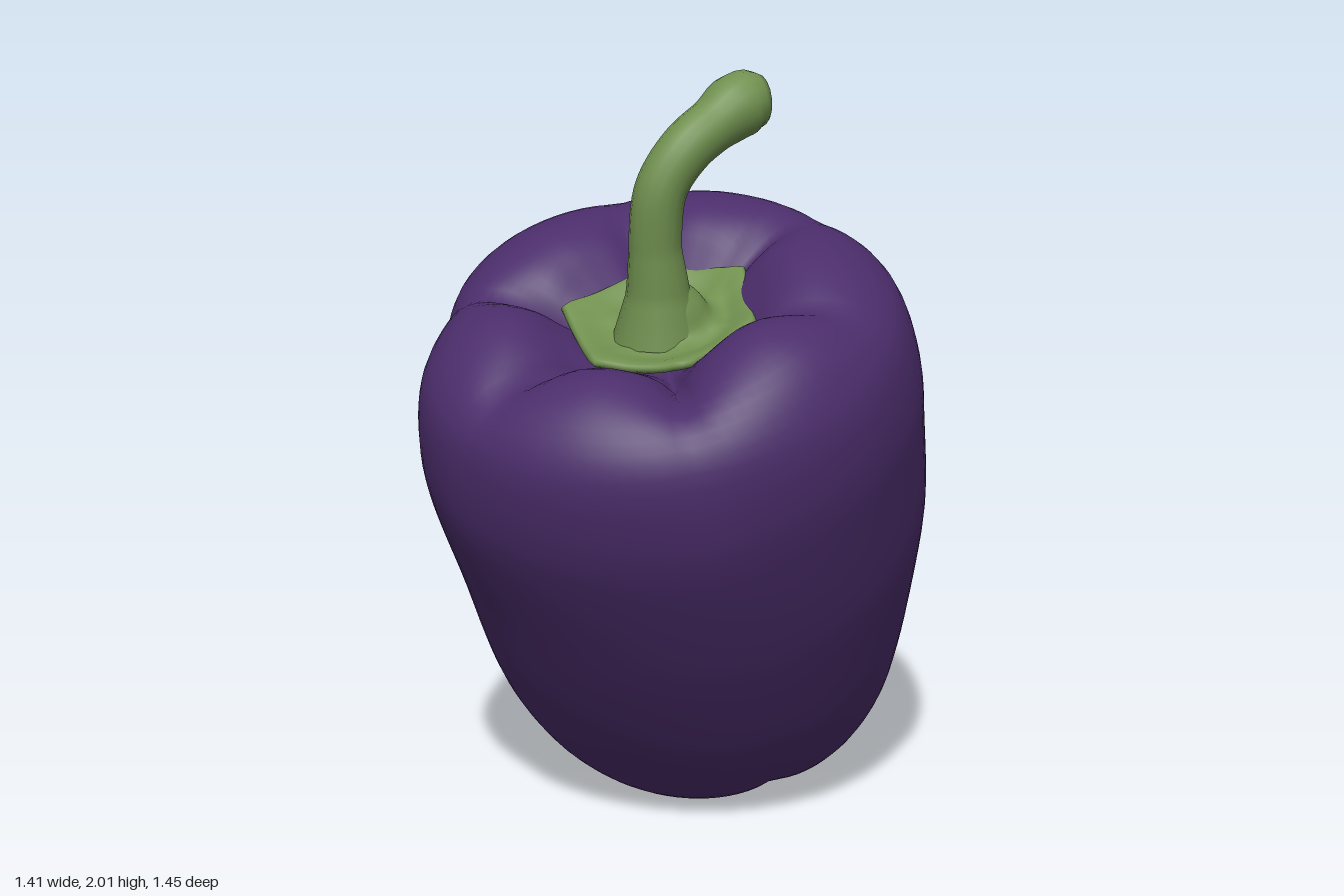
import * as THREE from 'three';
import { mergeVertices } from 'three/addons/utils/BufferGeometryUtils.js';

const rad = THREE.MathUtils.degToRad;
const smooth = THREE.MathUtils.smoothstep;
const bell = (x, mid, width) => Math.exp(-(((x - mid) / width) ** 2));
const angleGap = (a, b) => Math.abs(Math.atan2(Math.sin(a - b), Math.cos(a - b)));

// Creases between the lobes: [angle in degrees, strength]
const topCreases = [[-20, 0.85], [40, 0.6], [102, 1], [160, 1], [218, 1], [281, 0.7]];
const bottomCreases = [[-35, 0.7], [-135, 0.9], [93, 1]];
const groove = (creases, angle, width) =>
  Math.max(...creases.map(([deg, s]) => s * Math.exp(-angleGap(angle, rad(deg)) / width)));

// Uneven swellings of the wall: [angle, height, angle width, height width, amount]
const swellings = [
  [258, 0.8, 30, 0.5, 0.035], [182, 0.28, 36, 0.3, 0.04], [-95, 0.0, 45, 0.13, -0.05],
  [-90, 0.4, 40, 0.25, 0.015], [-85, 1.22, 40, 0.15, 0.012], [50, 0.6, 45, 0.6, -0.02],
  [213, 1.1, 20, 0.4, -0.045],
];
const swell = (angle, h) => swellings.reduce((sum, [deg, mid, wide, tall, amount]) =>
  sum + amount * bell(angleGap(angle, rad(deg)), 0, rad(wide)) * bell(h, mid, tall), 0);

// Weld seams and recompute smooth normals
function finish(geometry) {
  geometry.deleteAttribute('uv');
  geometry.deleteAttribute('normal');
  const welded = mergeVertices(geometry, 1e-5);
  welded.computeVertexNormals();
  return welded;
}

// Lathe whose vertices are moved by rule(radius, height, angle) -> [radius, height, shiftX]
function shapedLathe(profile, rows, segments, rule) {
  const points = new THREE.SplineCurve(profile.map(p => new THREE.Vector2(...p))).getPoints(rows);
  points.forEach(p => { p.x = Math.max(p.x, 0); });
  const geometry = new THREE.LatheGeometry(points, segments);
  const pos = geometry.attributes.position;
  for (let i = 0; i < pos.count; i++) {
    const x = pos.getX(i), z = pos.getZ(i), angle = Math.atan2(z, x);
    const [r, h, shift] = rule(Math.hypot(x, z), pos.getY(i), angle);
    pos.setXYZ(i, r * Math.cos(angle) + shift, h, r * Math.sin(angle));
  }
  return finish(geometry);
}

// Fruit: fat profile folded in at both ends, with creases
function bodyGeometry() {
  const profile = [
    [0, 0.03], [0.05, 0], [0.15, -0.065], [0.28, -0.078], [0.4, -0.03], [0.48, 0.075], [0.535, 0.22],
    [0.59, 0.42], [0.64, 0.65], [0.668, 0.9], [0.672, 1.08], [0.635, 1.25], [0.545, 1.35],
    [0.43, 1.395], [0.33, 1.38], [0.24, 1.31], [0.16, 1.25], [0, 1.21],
  ];
  return shapedLathe(profile, 68, 90, (r, h, angle) => {
    const top = groove(topCreases, angle, 0.18), bottom = groove(bottomCreases, angle, 0.18);
    const high = smooth(h, 0.95, 1.35), low = 1 - smooth(h, 0.02, 0.3);
    const newR = r * (1 - 0.03 * top * high - 0.02 * bottom * low)
      + swell(angle, h) * smooth(r, 0.2, 0.45);
    const newH = h - 0.11 * top * smooth(h, 1.1, 1.35) * bell(r, 0.34, 0.18)
      + 0.065 * bottom * low * bell(r, 0.24, 0.18)
      + 0.025 * bell(angleGap(angle, rad(65)), 0, 0.4) * smooth(h, 1.25, 1.38);
    const shift = 0.05 * low * (1 - smooth(r, 0.05, 0.35)) - 0.02 * smooth(h, 0.6, 1);
    return [newR, newH, shift];
  });
}

// Calyx: six-cornered cap, its corners reaching into the creases
function calyxGeometry() {
  const profile = [[0.2, 1.24], [0.95, 1.275], [1, 1.3], [0.9, 1.298], [0.65, 1.275], [0.42, 1.29], [0.3, 1.34], [0.15, 1.39]];
  const corners = [[-20, 0.25], [44, 0.23], [102, 0.255], [156, 0.28], [216, 0.295], [283, 0.255]];
  return shapedLathe(profile, 24, 72, (r, h, angle) => {
    const deg = THREE.MathUtils.euclideanModulo(THREE.MathUtils.radToDeg(angle) + 20, 360) - 20;
    let i = corners.length - 1;
    while (i > 0 && corners[i][0] > deg) i--;
    const [a0, r0] = corners[i];
    const [a1, r1] = i < 5 ? corners[i + 1] : [340, corners[0][1]];
    // Straight edge from one corner to the next
    const edge = r0 * r1 * Math.sin(rad(a1 - a0))
      / (r0 * Math.sin(rad(deg - a0)) + r1 * Math.sin(rad(a1 - deg)));
    const rib = bell(Math.min(deg - a0, a1 - deg), 0, 12) * 0.015 * smooth(r, 0.3, 0.8);
    return [r * THREE.MathUtils.lerp(0.26, edge, smooth(r, 0.25, 0.8)), h + rib, 0.025];
  });
}

// Stem: bent tube that flares at the foot and swells to a blunt tip
function stemGeometry() {
  const path = new THREE.CatmullRomCurve3([
    [-0.09, 1.33, 0.125], [-0.1, 1.45, 0.145], [-0.113, 1.6, 0.163], [-0.1, 1.72, 0.175],
    [-0.035, 1.815, 0.175], [0.06, 1.88, 0.155], [0.13, 1.918, 0.135], [0.198, 1.925, 0.125],
  ].map(p => new THREE.Vector3(...p)));
  const radii = [[0, 0.12], [0.06, 0.105], [0.15, 0.083], [0.3, 0.068], [0.55, 0.067], [0.78, 0.07],
    [0.87, 0.084], [0.93, 0.084], [0.98, 0.066], [1, 0]];
  const radiusAt = t => {
    const i = Math.max(1, radii.findIndex(p => p[0] >= t - 1e-9));
    const [t0, a] = radii[i - 1], [t1, b] = radii[i];
    return THREE.MathUtils.mapLinear(t, t0, t1, a, b);
  };
  const rings = 48, sides = 16;
  const geometry = new THREE.TubeGeometry(path, rings, 1, sides);
  const pos = geometry.attributes.position, v = new THREE.Vector3();
  for (let i = 0; i < pos.count; i++) {
    const t = Math.floor(i / (sides + 1)) / rings, centre = path.getPointAt(t);
    v.fromBufferAttribute(pos, i).sub(centre).multiplyScalar(radiusAt(t)).add(centre);
    pos.setXYZ(i, v.x, v.y, v.z);
  }
  return finish(geometry);
}

export function createModel() {
  const purple = new THREE.MeshStandardMaterial({ color: 0x4b2d6b });
  const green = new THREE.MeshStandardMaterial({ color: 0x70904f });
  const greenThin = green.clone();
  greenThin.side = THREE.DoubleSide;
  const mesh = (name, geometry, material) => {
    const m = new THREE.Mesh(geometry, material);
    m.name = name;
    return m;
  };

  // The fruit leans, so its axis runs from the bottom pucker to the calyx
  const fruit = new THREE.Group();
  fruit.name = 'fruit';
  fruit.position.set(0.24, 0.185, -0.27);
  fruit.quaternion.setFromUnitVectors(
    new THREE.Vector3(0, 1, 0), new THREE.Vector3(-0.32, 1.19, 0.4).normalize());
  fruit.add(mesh('body', bodyGeometry(), purple), mesh('calyx', calyxGeometry(), greenThin));

  const model = new THREE.Group();
  model.name = 'bellPepper';
  model.add(fruit, mesh('stem', stemGeometry(), green));
  return model;
}
